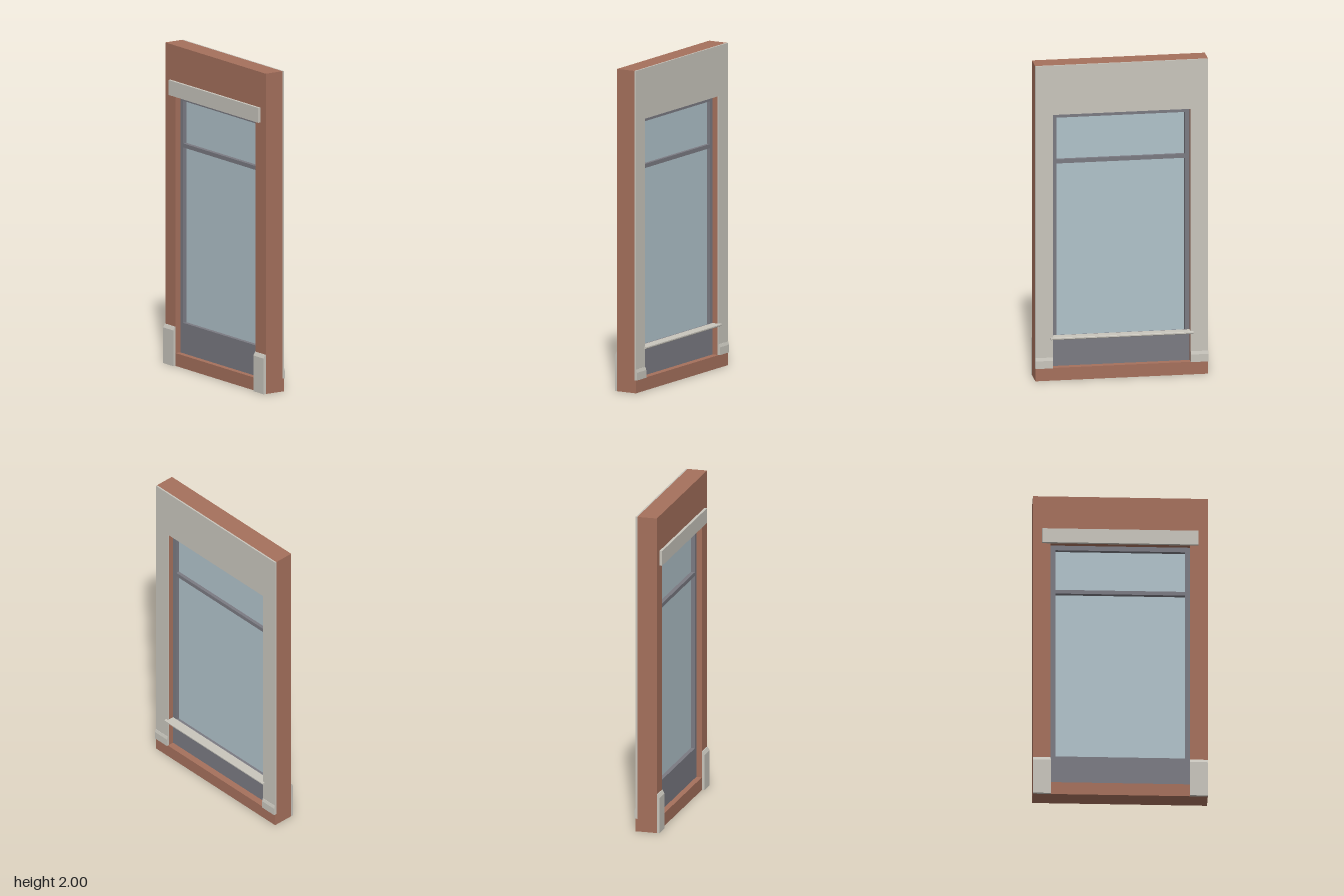
import * as THREE from 'three';

const W = 0.533, H = 2;                    // wall half width, height
const OX = 0.425, OY0 = 0.08, OY1 = 1.687; // opening
const FRONT = 0.066, CORE = -0.058, BACK = -0.068;

const mat = (name, color) => {
  const m = new THREE.MeshStandardMaterial({ color });
  m.name = name;
  return m;
};

const rectPoints = (x0, y0, x1, y1) =>
  [[x0, y0], [x1, y0], [x1, y1], [x0, y1]].map(([x, y]) => new THREE.Vector2(x, y));

// Plate with rectangular holes, between two z planes
function plate(outline, holes, z0, z1) {
  const shape = new THREE.Shape(outline);
  for (const h of holes) shape.holes.push(new THREE.Path(rectPoints(...h)));
  return new THREE.ExtrudeGeometry(shape, { depth: z1 - z0, bevelEnabled: false }).translate(0, 0, z0);
}

// Moulding with a (z, y) profile running from x0 to x1
function moulding(profile, x0, x1) {
  const shape = new THREE.Shape(profile.map(([z, y]) => new THREE.Vector2(z, y)));
  return new THREE.ExtrudeGeometry(shape, { depth: x1 - x0, bevelEnabled: false })
    .rotateY(-Math.PI / 2).translate(x1, 0, 0);
}

function box(x0, x1, y0, y1, z0, z1) {
  return new THREE.BoxGeometry(x1 - x0, y1 - y0, z1 - z0)
    .translate((x0 + x1) / 2, (y0 + y1) / 2, (z0 + z1) / 2);
}

export function createModel() {
  const group = new THREE.Group();
  group.name = 'windowWall';
  const brick = mat('brick', 0xa5705c);
  const stone = mat('paleStone', 0xc8c5bc);
  const metal = mat('greyFrame', 0x7a7a82);
  const glass = mat('glass', 0xb0c2ca);

  const add = (name, geometry, material) => {
    const mesh = new THREE.Mesh(geometry, material);
    mesh.name = name;
    group.add(mesh);
  };

  // Wall with opening, and the brick strip under the inner lining
  add('brickWall', plate(rectPoints(-W, 0, W, H), [[-OX, OY0, OX, OY1]], CORE, FRONT), brick);
  add('brickFooting', box(-W, W, 0, OY0, BACK, CORE), brick);

  // Inner lining wraps three sides of the opening
  const lining = [[-W, OY0], [-OX, OY0], [-OX, OY1], [OX, OY1], [OX, OY0], [W, OY0], [W, H], [-W, H]]
    .map(([x, y]) => new THREE.Vector2(x, y));
  add('innerLining', plate(lining, [], BACK, CORE), stone);

  // Frame with lower panel, transom bar and two panes
  const panes = [[-0.395, 0.27, 0.395, 1.365], [-0.395, 1.39, 0.395, 1.656]];
  add('windowFrame', plate(rectPoints(-OX, OY0, OX, OY1), panes, -0.025, 0.03), metal);
  panes.forEach(([x0, y0, x1, y1], i) =>
    add(i ? 'upperPane' : 'lowerPane', box(x0, x1, y0, y1, -0.004, 0.004), glass));

  // Lintel over the front of the opening
  add('lintel', box(-0.477, 0.477, 1.685, 1.778, FRONT, 0.083), stone);

  // Plinths in front and skirtings behind, on both sides
  const plinth = [[FRONT, 0], [0.082, 0], [0.082, 0.223], [0.07, 0.245], [FRONT, 0.245]];
  const skirting = [[BACK, 0.08], [BACK, 0.147], [-0.07, 0.147], [-0.076, 0.128], [-0.076, 0.08]];
  for (const [side, x0, x1] of [['left', OX, W], ['right', -W, -OX]]) {
    add(side + 'Plinth', moulding(plinth, x0, x1), stone);
    add(side + 'Skirting', moulding(skirting, x0, x1), stone);
  }

  // Inner sill board with a rounded nose
  add('sillBoard', box(-OX, OX, 0.26, 0.275, BACK, -0.025), stone);
  const nose = [[BACK, 0.26], [BACK, 0.275], [-0.079, 0.275], [-0.083, 0.271], [-0.083, 0.264], [-0.079, 0.26]];
  add('sillNose', moulding(nose, -0.44, 0.44), stone);

  return group;
}
